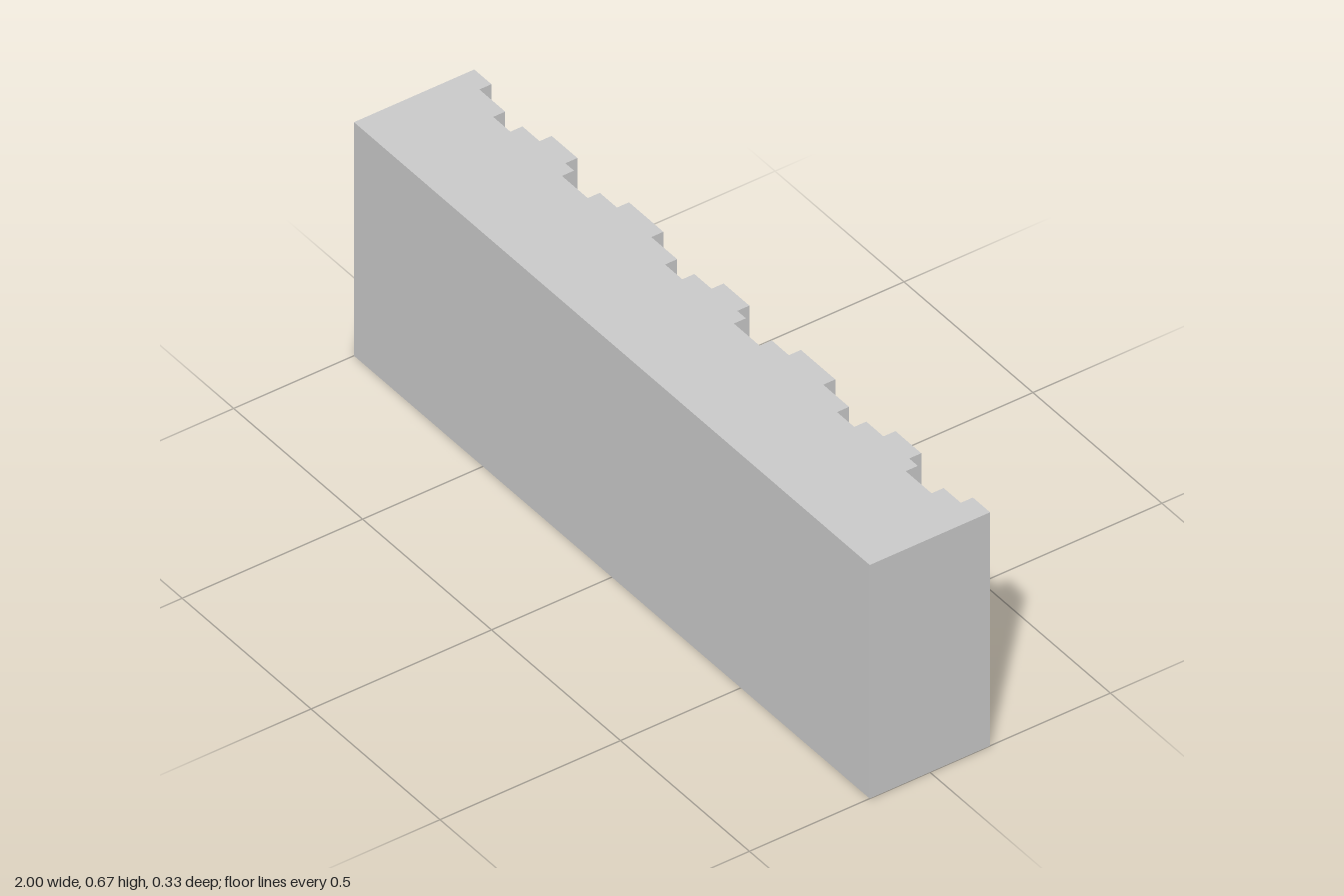
import * as THREE from 'three';

export function createModel() {
  const unit = 1 / 30; // the wall is 60 x 20 x 10 units
  const group = new THREE.Group();
  group.name = 'steppedWall';

  // widths of the back steps: one repeat of 20 units, three times over,
  // starting and ending in the middle of the widest ridge
  const repeat = [4, 3, 2, 2, 3, 1, 3, 2];
  const widths = [...repeat, ...repeat, ...repeat, 2];
  widths[0] = 2;
  const depths = [5, 4, 3, 4]; // ridge, ledge, groove, ledge

  // plan outline: straight front, stepped back
  const shape = new THREE.Shape();
  shape.moveTo(30 * unit, -5 * unit);
  shape.lineTo(-30 * unit, -5 * unit);
  let x = -30;
  widths.forEach((width, i) => {
    const depth = depths[i % 4];
    shape.lineTo(x * unit, depth * unit);
    x += width;
    shape.lineTo(x * unit, depth * unit);
  });
  shape.closePath();

  // raise the outline to the wall's height
  const geometry = new THREE.ExtrudeGeometry(shape, { depth: 20 * unit, bevelEnabled: false });
  geometry.rotateX(-Math.PI / 2);
  const wall = new THREE.Mesh(
    geometry,
    new THREE.MeshStandardMaterial({ color: 0xcccccc, flatShading: true })
  );
  wall.name = 'wall';
  group.add(wall);
  return group;
}
